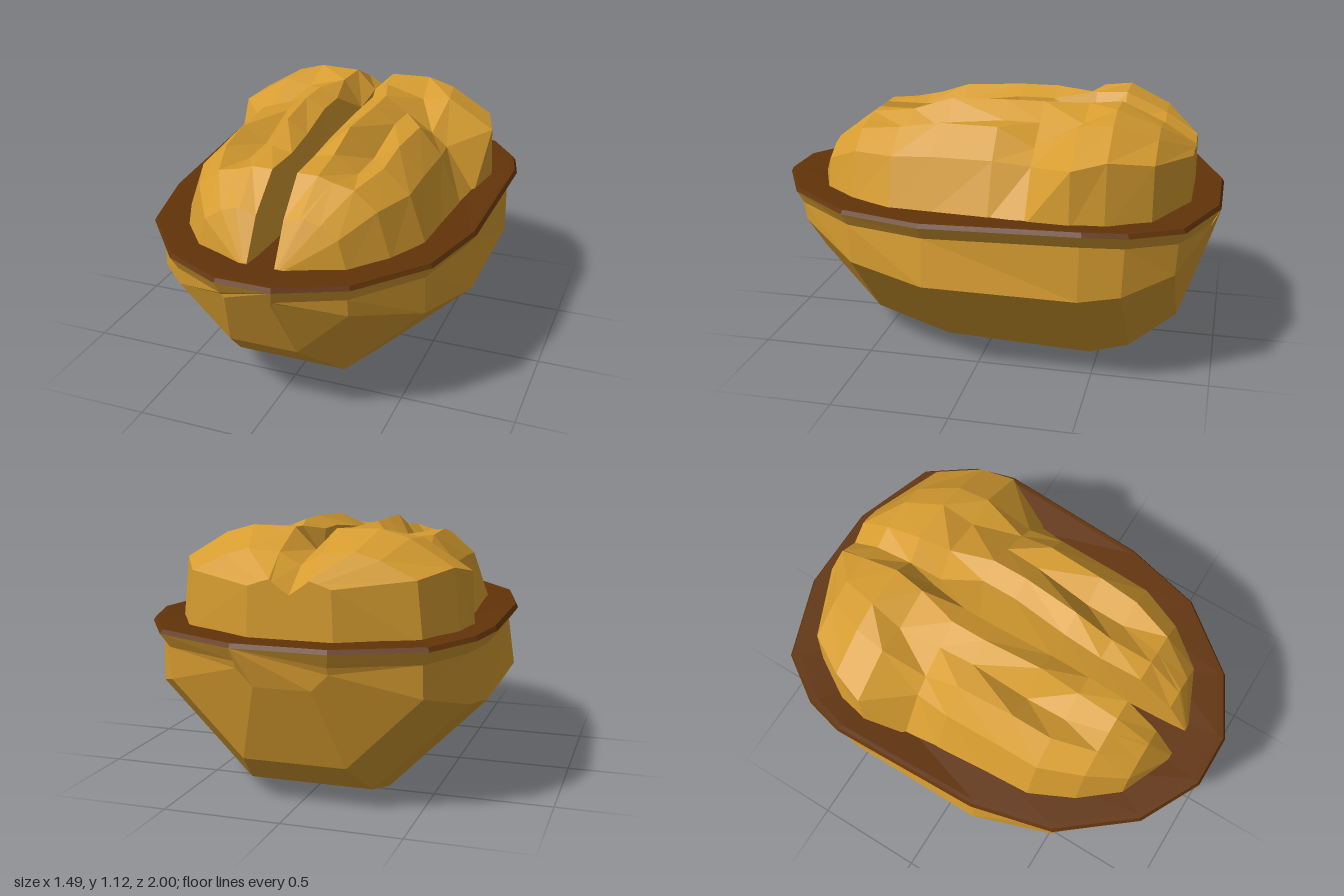
import * as THREE from 'three';

const nutMat = new THREE.MeshStandardMaterial({ color: 0xd69c30, flatShading: true });
nutMat.name = 'golden nut';
const rimMat = new THREE.MeshStandardMaterial({ color: 0x62340a, flatShading: true });
rimMat.name = 'dark brown rim';

// Skin a row of equal-length sections, with optional fan caps on both ends.
// Diagonals swap past the middle so that mirrored halves match.
function loft(sections, caps) {
  const n = sections[0].length, last = (sections.length - 1) * n, index = [];
  for (let k = 0; k < sections.length - 1; k++) {
    for (let i = 0; i < n - 1; i++) {
      const a = k * n + i, d = a + n;
      if (2 * i > n - 2) index.push(a, a + 1, d, a + 1, d + 1, d);
      else index.push(a, a + 1, d + 1, a, d + 1, d);
    }
  }
  if (caps) {
    for (let i = 1; i < n - 1; i++) {
      index.push(0, i + 1, i, last, last + i, last + i + 1);
    }
  }
  const g = new THREE.BufferGeometry();
  g.setAttribute('position', new THREE.Float32BufferAttribute(sections.flat(2), 3));
  g.setIndex(index);
  const flat = g.toNonIndexed();
  flat.computeVertexNormals();
  return flat;
}

const mirror = (pts) => pts.map(([x, y, z]) => [-x, y, z]).reverse();

function part(name, geometry, material) {
  const m = new THREE.Mesh(geometry, material);
  m.name = name;
  return m;
}

// Half outline of the rim, front to back
const RIM = [
  [0.12, 0.72, 1], [0.39, 0.712, 0.86], [0.63, 0.708, 0.56], [0.72, 0.705, 0.2],
  [0.745, 0.73, -0.48], [0.70, 0.722, -0.66], [0.56, 0.712, -0.87], [0.2, 0.705, -1],
];
const lower = ([x, y, z]) => [x, y - 0.018, z];

// Shell below each rim point: widest x, y and bottom x, y
const SHELL = [
  [0.11, 0.635, 0.1, 0.62], [0.37, 0.56, 0.15, 0.345], [0.6, 0.465, 0.25, 0.11], [0.71, 0.425, 0.295, 0.025],
  [0.71, 0.42, 0.295, 0], [0.67, 0.44, 0.27, 0.04], [0.53, 0.5, 0.22, 0.19], [0.19, 0.6, 0.12, 0.53],
];

// Kernel lobe: z, width, groove x, shoulder fraction; heights of groove edge, crest, valley, ridge, shoulder
const LOBE = [
  [0.73, 0.33, 0.06, 0.88, 0.88, 0.9, 0.9, 0.88, 0.83],
  [0.57, 0.46, 0.055, 0.86, 1.02, 1.02, 1.0, 0.98, 0.9],
  [0.38, 0.55, 0.05, 0.86, 1.02, 1.04, 0.97, 1.01, 0.91],
  [0.2, 0.56, 0.055, 0.85, 1.04, 1.1, 0.97, 1.04, 0.92],
  [-0.06, 0.58, 0.075, 0.83, 1.07, 1.11, 1.04, 1.04, 0.92],
  [-0.22, 0.6, 0.075, 0.77, 1.07, 1.11, 1.04, 0.96, 0.9],
  [-0.41, 0.64, 0.02, 0.98, 0.97, 1.1, 1.05, 1.07, 0.94],
  [-0.55, 0.61, 0, 0.95, 1.02, 1.11, 1.115, 1.08, 0.97],
  [-0.73, 0.5, 0, 0.95, 0.98, 1.03, 1.04, 1.01, 0.94],
  [-0.87, 0.18, 0, 0.96, 0.88, 0.93, 0.94, 0.93, 0.91],
];
const BASE = 0.69;

// The groove walls close in towards the back at their foot
function lobeSection([z, width, groove, shoulder, ...heights]) {
  const xs = [groove, Math.min(groove + 0.09, width * 0.4), width * 0.45, width * 0.65, width * shoulder];
  return [
    [Math.max(0, 0.045 * (z + 0.45)), BASE, z],
    ...heights.map((y, i) => [xs[i], y, z]),
    [width, BASE, z],
  ];
}

export function createModel() {
  const group = new THREE.Group();
  group.name = 'halfNut';

  // Faceted shell bowl flaring out to the rim
  const shellSections = SHELL.map(([midX, midY, bottomX, bottomY], k) => {
    const [x, y, z] = RIM[k], zIn = z * 0.96;
    const side = [lower([x, y, z]), [x * 0.945, y - 0.075, z * 0.97], [midX, midY, zIn], [bottomX, bottomY, zIn]];
    return [...side, ...mirror(side)];
  });
  group.add(part('shell', loft(shellSections, true), nutMat));

  // Bevelled rim edge and the flat cut face inside it
  const loop = [...RIM, ...mirror(RIM), RIM[0]];
  const rings = [
    loop.map(lower),
    loop.map(([x, y, z]) => [x * 0.985, y, z * 0.99]),
    loop.map(([x, y, z]) => [x * 0.96, y, z * 0.965]),
    loop.map(([x, , z]) => [x * 0.7, 0.705, z * 0.75]),
    loop.map(() => [0, 0.705, 0]),
  ];
  group.add(part('rim', loft(rings, false), rimMat));

  // Two folded kernel lobes, each starting from a low narrow tip at the front
  const body = LOBE.map(lobeSection);
  const tip = body[0].map(([x, y]) => [0.06 + (x - 0.06) * 0.15, BASE + (y - BASE) * 0.12, 0.83]);
  const lobe = [tip, ...body];
  group.add(part('leftKernelLobe', loft(lobe, true), nutMat));
  group.add(part('rightKernelLobe', loft(lobe.map(mirror), true), nutMat));

  // Narrow dark slit under the shell, following its slope
  const slit = part('bottomSlit', new THREE.BoxGeometry(0.03, 0.006, 0.56), rimMat);
  slit.position.set(0.07, 0.0125, -0.13);
  slit.rotation.x = -Math.atan2(0.025, 0.66);
  group.add(slit);

  return group;
}
